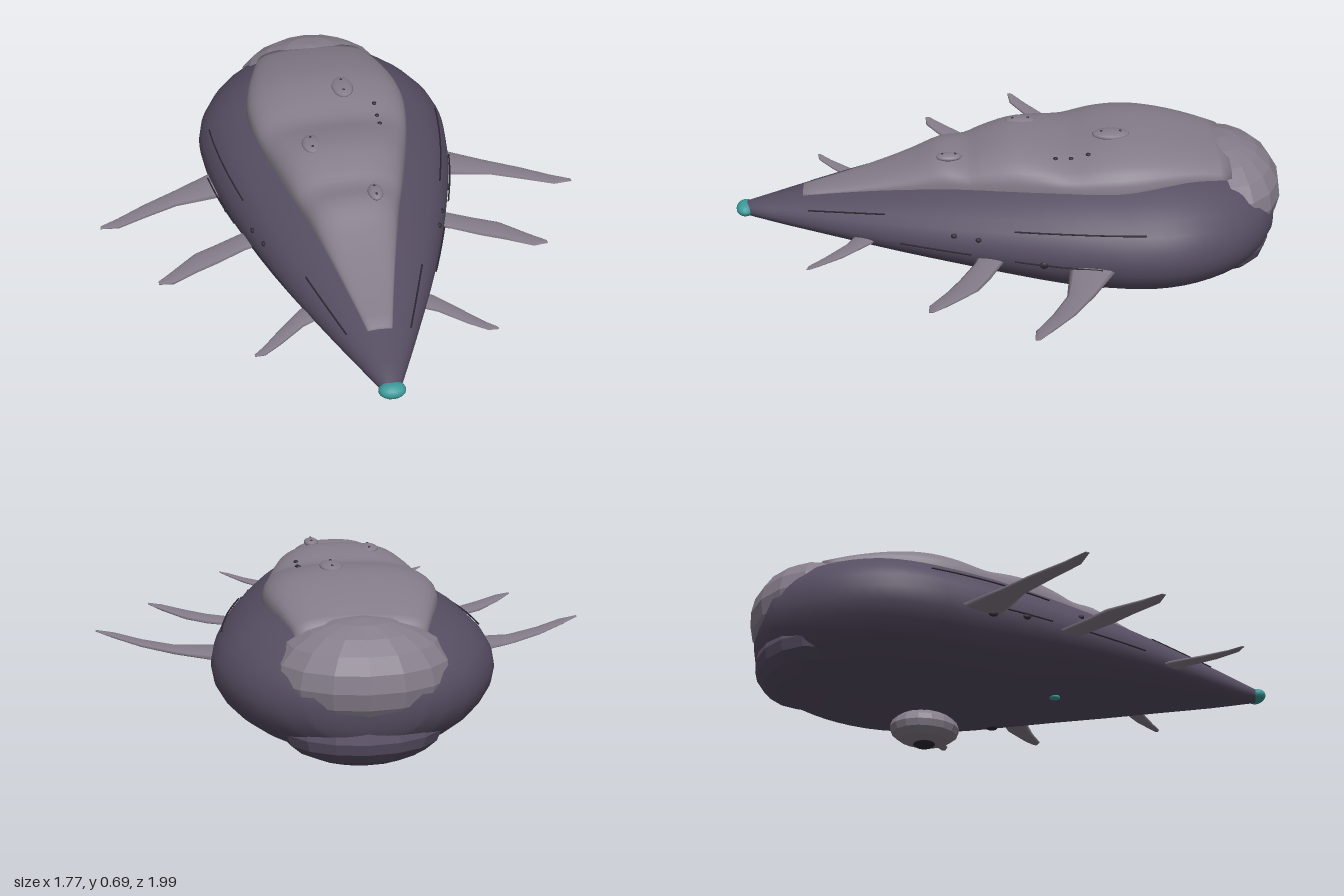
import * as THREE from 'three';

const mat = (color, extra = {}) => new THREE.MeshStandardMaterial({ color, ...extra });
const hullMat = mat(0x564d62);
const plateMat = mat(0x857d8a);
const shellMat = mat(0x857d8a, { flatShading: true });
const hullShellMat = mat(0x564d62, { flatShading: true });
const tealMat = mat(0x3d9a9a);
const darkMat = mat(0x2c2833);

const AXIS_Y = 0.37;

// Smooth interpolation of rows [z, a, b, c], listed from front to back
function profile(rows) {
  const size = rows[0].length - 1;
  const curve = new THREE.CubicInterpolant(rows.map(r => -r[0]), rows.flatMap(r => r.slice(1)), size);
  return z => Array.from(curve.evaluate(-z));
}

// Hull: z, half width, height above and below the axis
const hullRows = [
  [0.96, 0.03, 0.025, 0.025], [0.8, 0.1, 0.062, 0.057], [0.6, 0.185, 0.105, 0.09],
  [0.4, 0.265, 0.145, 0.125], [0.2, 0.335, 0.18, 0.16], [0, 0.395, 0.21, 0.2],
  [-0.2, 0.445, 0.235, 0.238], [-0.4, 0.476, 0.247, 0.255], [-0.5, 0.48, 0.25, 0.257],
  [-0.6, 0.467, 0.247, 0.25], [-0.7, 0.43, 0.234, 0.238], [-0.8, 0.37, 0.208, 0.215],
  [-0.88, 0.29, 0.17, 0.175], [-0.93, 0.21, 0.125, 0.13], [-0.96, 0.12, 0.07, 0.075],
  [-0.97, 0.002, 0.002, 0.002],
];
const hullAt = profile(hullRows);

// Back plate: z, half width, crest height
const plateRows = [
  [0.75, 0.042, 0.452], [0.6, 0.075, 0.486], [0.45, 0.11, 0.528], [0.35, 0.135, 0.565],
  [0.25, 0.16, 0.607], [0.16, 0.185, 0.606], [0.1, 0.203, 0.63], [0, 0.23, 0.658],
  [-0.1, 0.255, 0.655], [-0.2, 0.277, 0.641], [-0.3, 0.294, 0.664], [-0.4, 0.3, 0.675],
  [-0.5, 0.287, 0.669], [-0.65, 0.248, 0.64], [-0.78, 0.21, 0.602],
];
const plateAt = profile(plateRows);

function hullPoint(angle, z, offset = 0) {
  const [w, up, down] = hullAt(z);
  const s = Math.sin(angle);
  return new THREE.Vector3((w + offset) * Math.cos(angle), AXIS_Y + ((s > 0 ? up : down) + offset) * s, z);
}

// Skin over closed rings; rings run counterclockwise when looking along the loft
function loft(rings) {
  const n = rings[0].length;
  const collapse = ring => {
    const mid = ring.reduce((a, p) => a.add(p), new THREE.Vector3()).divideScalar(n);
    return ring.map(() => mid.clone());
  };
  const all = [collapse(rings[0]), ...rings, collapse(rings[rings.length - 1])];
  const index = [];
  for (let i = 0; i < all.length - 1; i++) {
    for (let j = 0; j < n; j++) {
      const a = i * n + j, b = i * n + (j + 1) % n;
      index.push(a, a + n, b, b, a + n, b + n);
    }
  }
  const geo = new THREE.BufferGeometry().setFromPoints(all.flat());
  geo.setIndex(index);
  geo.computeVertexNormals();
  return geo;
}

const ringOf = (n, fn) => Array.from({ length: n }, (_, j) => fn(j / n * Math.PI * 2));

// Every profile station plus extra ones between them
const stations = (rows, sub) => rows.flatMap((r, i) => i === rows.length - 1 ? [r[0]]
  : Array.from({ length: sub }, (_, k) => THREE.MathUtils.lerp(r[0], rows[i + 1][0], k / sub)));

export function createModel() {
  const group = new THREE.Group();
  const add = (name, geo, material, x = 0, y = 0, z = 0) => {
    const mesh = new THREE.Mesh(geo, material);
    mesh.name = name;
    mesh.position.set(x, y, z);
    group.add(mesh);
    return mesh;
  };
  const ellipsoid = (name, material, pos, size, w = 16, h = 10) => {
    add(name, new THREE.SphereGeometry(1, w, h).scale(...size), material, ...pos);
  };

  // Teardrop body
  add('hull', loft(stations(hullRows, 2).map(z => ringOf(32, a => hullPoint(a, z)))), hullMat);

  // Bumpy armour along the back, resting on the hull
  const power = (v, p) => Math.sign(v) * Math.abs(v) ** p;
  add('backPlate', loft(stations(plateRows, 3).map(z => {
    const [w, crest] = plateAt(z);
    const [hw, up] = hullAt(z);
    const edge = Math.min(AXIS_Y + up * Math.sqrt(1 - (w / hw) ** 2) - 0.004, crest - 0.01);
    return ringOf(40, a => {
      const s = Math.sin(a);
      const y = s > 0 ? edge + (crest - edge) * s ** 0.75 : edge + 0.02 * s;
      return new THREE.Vector3(w * power(Math.cos(a), 0.8), y, z);
    });
  })), plateMat);

  // Faceted tail shells, nose tip and belly pod
  ellipsoid('upperTailShell', shellMat, [0, 0.43, -0.77], [0.3, 0.185, 0.225], 16, 10);
  ellipsoid('lowerTailShell', hullShellMat, [0, 0.25, -0.775], [0.27, 0.122, 0.19], 16, 10);
  ellipsoid('noseTip', tealMat, [0, 0.37, 0.965], [0.046, 0.026, 0.034], 16, 10);
  ellipsoid('bellyPod', shellMat, [0, 0.065, -0.35], [0.104, 0.062, 0.126], 16, 8);
  add('podLens', new THREE.CylinderGeometry(0.045, 0.035, 0.012, 16), darkMat, 0, 0.008, -0.35);
  add('podNeck', new THREE.CylinderGeometry(0.05, 0.05, 0.05, 12), hullMat, 0, 0.12, -0.35);

  // Swept fins: stations of [x, y, rear z, front z]
  const fins = {
    rearFin: [[0.36, 0.345, -0.4, -0.2], [0.46, 0.342, -0.345, -0.185], [0.6, 0.34, -0.262, -0.165],
      [0.72, 0.346, -0.185, -0.105], [0.82, 0.356, -0.105, -0.045], [0.885, 0.366, -0.055, -0.038]],
    middleFin: [[0.28, 0.345, -0.01, 0.11], [0.38, 0.342, 0.04, 0.14], [0.48, 0.34, 0.09, 0.195],
      [0.56, 0.345, 0.135, 0.24], [0.65, 0.352, 0.23, 0.3], [0.7, 0.36, 0.285, 0.303]],
    frontFin: [[0.15, 0.348, 0.45, 0.545], [0.235, 0.346, 0.5, 0.59], [0.32, 0.346, 0.595, 0.665],
      [0.38, 0.352, 0.672, 0.716], [0.415, 0.358, 0.712, 0.724]],
  };
  for (const side of [1, -1]) {
    const label = side > 0 ? 'left' : 'right';
    for (const [name, rows] of Object.entries(fins)) {
      const rings = rows.map(([x, y, z0, z1]) => ringOf(10, a => new THREE.Vector3(
        side * x,
        y + (z1 - z0) * 0.09 * Math.sin(a),
        (z0 + z1) / 2 + side * Math.cos(a) * (z1 - z0) / 2)));
      add(`${label} ${name}`, loft(rings), plateMat);
    }

    // Thin rails and seams that follow the flanks: [angle, front z, back z, stand-off]
    for (const [angle, z0, z1, off] of [[0.42, 0, -0.45, 0.004], [0.6, 0.73, 0.45, 0.001],
      [-0.05, 0.4, 0.15, 0.002], [-0.06, 0, -0.3, 0.006]]) {
      const path = Array.from({ length: 8 }, (_, i) =>
        hullPoint(side > 0 ? angle : Math.PI - angle, THREE.MathUtils.lerp(z0, z1, i / 7), off));
      add(`${label} flankRail`, new THREE.TubeGeometry(new THREE.CatmullRomCurve3(path), 20, 0.003, 5), darkMat);
    }

    // Portholes and small fittings on the flanks: [angle, z, radius]
    for (const [angle, z, r] of [[0.28, 0.21, 0.009], [0.25, 0.125, 0.009], [-0.15, -0.23, 0.016], [-0.08, -0.1, 0.013]]) {
      const p = hullPoint(side > 0 ? angle : Math.PI - angle, z);
      ellipsoid(`${label} porthole`, darkMat, p.toArray(), [0.008, r, r * 1.2], 10, 6);
    }
  }

  // Oval hatches on the crest, each with two studs: [x, y, z, rx, rz]
  for (const [x, y, z, rx, rz] of [[0.06, 0.672, -0.36, 0.04, 0.068], [-0.105, 0.648, -0.045, 0.035, 0.056],
    [0.08, 0.606, 0.22, 0.027, 0.046]]) {
    ellipsoid('hatch', plateMat, [x, y, z], [rx, 0.013, rz], 20, 8);
    for (const d of [-0.5, 0.5]) ellipsoid('hatchStud', darkMat, [x, y + 0.01, z + d * rz], [0.005, 0.005, 0.005], 8, 6);
  }

  // Row of dark studs on the plate
  for (const z of [-0.27, -0.21, -0.155]) {
    const [w, crest] = plateAt(z);
    const [hw, up] = hullAt(z);
    const edge = AXIS_Y + up * Math.sqrt(1 - (w / hw) ** 2);
    const c = (0.165 / w) ** 1.25;
    const y = edge + (crest - edge) * (1 - c * c) ** 0.375;
    ellipsoid('plateStud', darkMat, [0.165, y, z], [0.009, 0.006, 0.009], 8, 6);
  }

  // Belly sensors
  ellipsoid('bellySensor', tealMat, hullPoint(-1.9, 0.1).toArray(), [0.018, 0.01, 0.022], 10, 6);
  ellipsoid('bellySensor', darkMat, hullPoint(-1.15, -0.05).toArray(), [0.022, 0.01, 0.022], 10, 6);

  return group;
}
